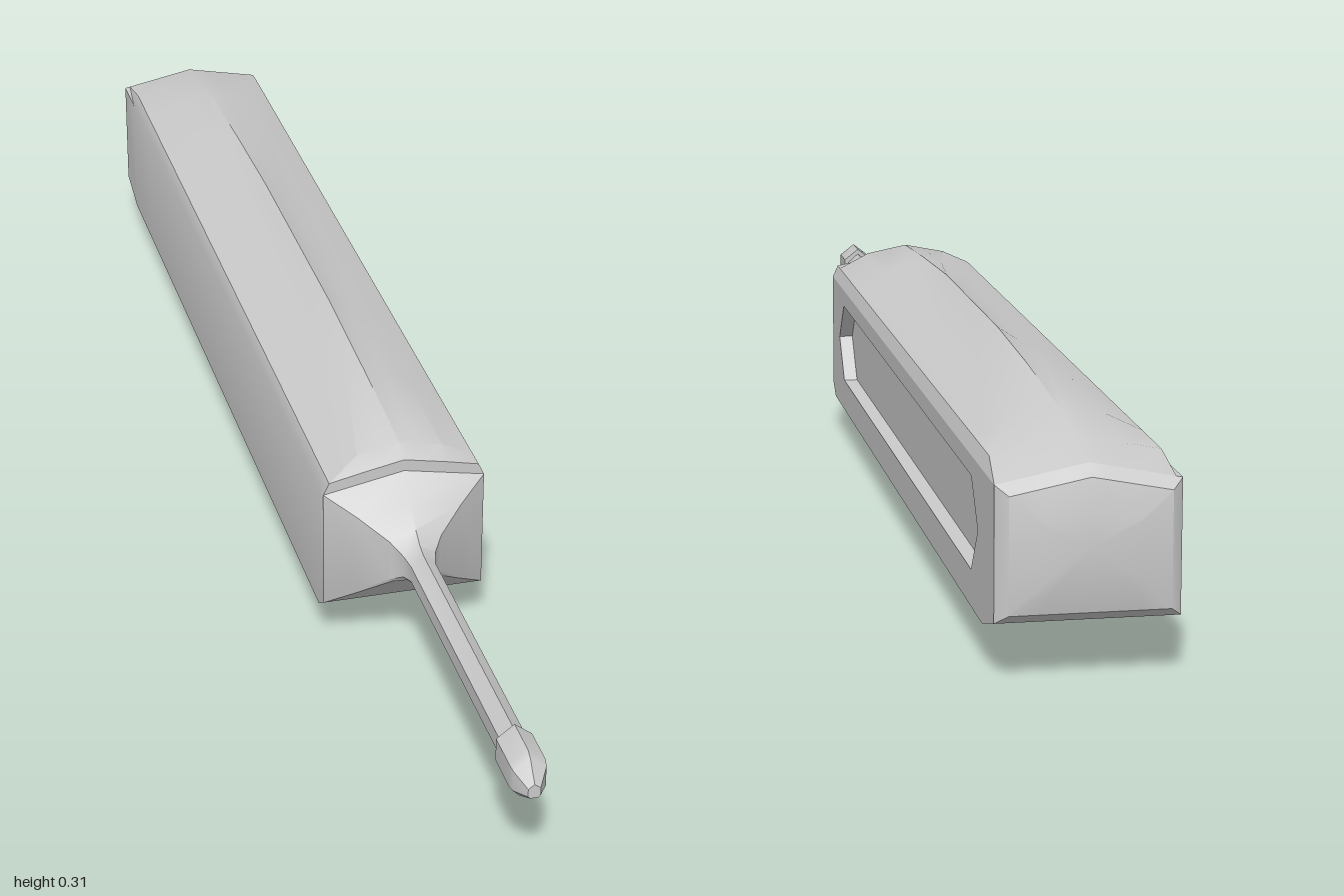
import * as THREE from 'three';
import { toCreasedNormals } from 'three/addons/utils/BufferGeometryUtils.js';

const HALF = 0.113; // half width of the handle
const DEPTH = 0.02; // depth of the side recess

const material = new THREE.MeshStandardMaterial({ color: 0xcccccc });

function addMesh(group, name, geometry) {
  const mesh = new THREE.Mesh(geometry, material);
  mesh.name = name;
  group.add(mesh);
}

// Completes a half profile (top centre, +x side, bottom centre) into a ring at z
function ring(half, z) {
  const mirrored = half.slice(1, -1).reverse().map(([x, y]) => [-x, y]);
  return [...half, ...mirrored].map(([x, y]) => new THREE.Vector3(x, y, z));
}

// Skins rings listed front to back and closes both ends
function loft(rings, crease, skipStrip = -1) {
  const pos = [];
  const tri = (...pts) => pts.forEach((p) => pos.push(p.x, p.y, p.z));
  const n = rings[0].length;
  const centre = (r) => r.reduce((s, p) => s.add(p), new THREE.Vector3()).divideScalar(n);
  const first = rings[0];
  const last = rings[rings.length - 1];
  const c0 = centre(first);
  const c1 = centre(last);
  for (let j = 0; j < n; j++) {
    const k = (j + 1) % n;
    tri(c0, first[k], first[j]);
    tri(c1, last[j], last[k]);
    if (j === skipStrip) continue;
    for (let i = 0; i < rings.length - 1; i++) {
      const [a, b] = [rings[i], rings[i + 1]];
      tri(a[j], a[k], b[k]);
      tri(a[j], b[k], b[j]);
    }
  }
  const geometry = new THREE.BufferGeometry();
  geometry.setAttribute('position', new THREE.Float32BufferAttribute(pos, 3));
  return toCreasedNormals(geometry, crease);
}

// Handle section: full outline trimmed by a shallow gable (peak) and a flat floor
const upper = [[0, 0.315], [0.027, 0.297], [0.06, 0.283], [0.105, 0.26], [HALF, 0.243]];
const lower = [[HALF, 0.053], [0.075, 0.022], [0.04, 0.01], [0, 0]];
function handleRing(z, peak, floor) {
  return ring([
    ...upper.map(([x, y]) => [x, Math.min(y, peak - 0.2 * x)]),
    ...lower.map(([x, y]) => [x, Math.max(y, floor)]),
  ], z);
}

// Shaft section: gabled top, straight sides, chamfered bottom
function shaftRing([z, w, peak, side, floor, chamfer]) {
  return ring([[0, peak], [w, side], [w, floor + chamfer], [w - chamfer, floor], [0, floor]], z);
}

// Places a flat shape drawn in (-z, y) onto the +x side
function onSide(geometry) {
  return geometry.rotateY(Math.PI / 2).translate(HALF - DEPTH, 0, 0);
}

const toPoints = (list) => list.map(([z, y]) => new THREE.Vector2(-z, y));

export function createModel() {
  const model = new THREE.Group();
  model.name = 'handTool';

  // Handle body: z, ridge height, underside height
  const body = [
    [0.41, 0.282, 0.07], [0.385, 0.295, 0.053], [0.2, 0.306, 0.02], [0, 0.315, 0.01],
    [-0.2, 0.315, 0], [-0.4, 0.315, 0.01], [-0.6, 0.307, 0.02], [-0.8, 0.294, 0.04],
    [-0.9, 0.281, 0.053], [-0.975, 0.2656, 0.075],
  ].map((s) => handleRing(...s));
  addMesh(model, 'handleBody', loft(body, 0.5, upper.length - 1));

  // Pillowed butt end
  const rear = body[body.length - 1];
  const butt = [[-0.975, 1, 1], [-0.991, 0.87, 0.86], [-1, 0.55, 0.45]].map(([z, sx, sy]) =>
    rear.map((p) => new THREE.Vector3(p.x * sx, 0.165 + (p.y - 0.165) * sy, z)));
  addMesh(model, 'buttCap', loft(butt, 0.6));

  // Side panel with a hexagonal recess
  const recess = toPoints([
    [0.335, 0.16], [0.285, 0.1], [-0.825, 0.1], [-0.87, 0.16], [-0.825, 0.218], [0.285, 0.218],
  ]);
  const panel = new THREE.Shape(toPoints([
    [0.41, 0.07], [0.385, 0.053], [-0.9, 0.053], [-0.975, 0.075], [-0.975, 0.243], [0.41, 0.243],
  ]));
  panel.holes.push(new THREE.Path(recess));
  addMesh(model, 'sidePanel', onSide(new THREE.ExtrudeGeometry(panel, { depth: DEPTH, bevelEnabled: false })));
  addMesh(model, 'recessFloor', onSide(new THREE.ShapeGeometry(new THREE.Shape(recess))));

  // Flared neck running into the slim shaft: z, half width, peak, side top, floor, chamfer
  addMesh(model, 'neckAndShaft', loft([
    [0.92, 0.017, 0.19, 0.175, 0.146, 0.006],
    [0.51, 0.017, 0.19, 0.175, 0.146, 0.006],
    [0.49, 0.022, 0.195, 0.18, 0.142, 0.006],
    [0.47, 0.036, 0.207, 0.193, 0.13, 0.004],
    [0.44, 0.072, 0.236, 0.218, 0.1, 0.002],
    [0.41, HALF, 0.265, 0.243, 0.07, 0.001],
  ].map(shaftRing), 0.5));

  // Thicker bit at the end of the shaft
  addMesh(model, 'tip', loft([
    [1, 0.008, 0.168, 0.162, 0.148, 0.003],
    [0.98, 0.021, 0.192, 0.177, 0.139, 0.009],
    [0.97, 0.023, 0.198, 0.18, 0.138, 0.01],
    [0.915, 0.023, 0.198, 0.18, 0.138, 0.01],
  ].map(shaftRing), 0.5));

  return model;
}
